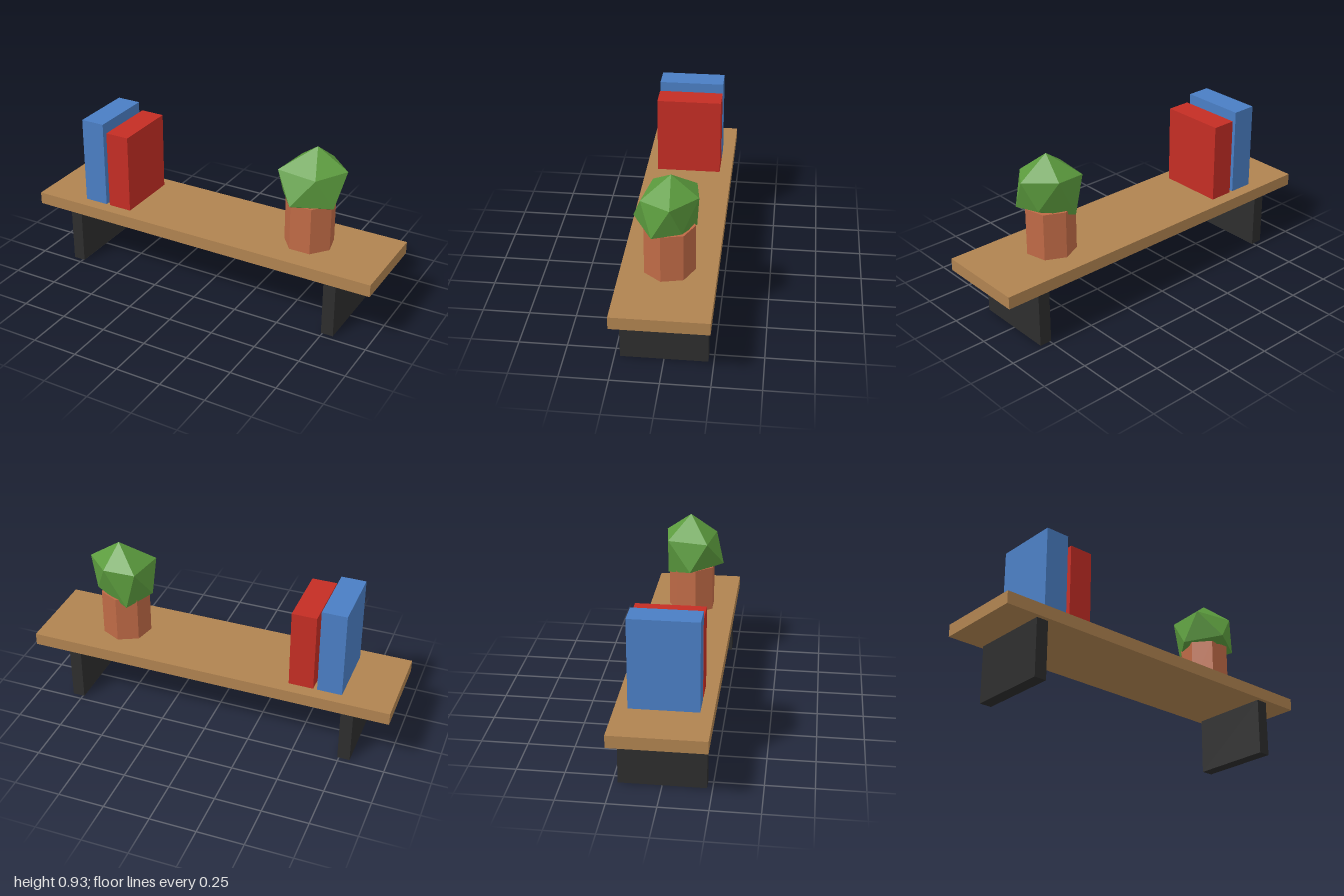
import * as THREE from 'three';

const mat = (name, color) => {
  const m = new THREE.MeshStandardMaterial({ color });
  m.name = name;
  return m;
};

// Low-poly bush: two staggered five-point rings closed by a top and a bottom point
function bushGeometry(top, upper, lower, bottom) {
  const pos = [];
  const face = (...pts) => pts.forEach((p) => pos.push(...p));
  for (let i = 0; i < 5; i++) {
    const j = (i + 1) % 5;
    face(top, upper[j], upper[i]);
    face(upper[i], upper[j], lower[i]);
    face(lower[i], upper[j], lower[j]);
    face(lower[i], lower[j], bottom);
  }
  const g = new THREE.BufferGeometry();
  g.setAttribute('position', new THREE.Float32BufferAttribute(pos, 3));
  g.computeVertexNormals();
  return g;
}

export function createModel() {
  const group = new THREE.Group();
  const wood = mat('wood', 0xb08350);
  const black = mat('blackMetal', 0x2d2d2d);
  const blue = mat('blueCover', 0x4a7ec4);
  const red = mat('redCover', 0xc42d24);
  const clay = mat('terracotta', 0xbf6a46);
  const green = mat('leafGreen', 0x5c9c3e);
  clay.flatShading = true;
  green.flatShading = true;

  const add = (name, geometry, material, x, y, z) => {
    const mesh = new THREE.Mesh(geometry, material);
    mesh.name = name;
    mesh.position.set(x, y, z);
    group.add(mesh);
  };
  // Box standing on a given height
  const box = (name, material, w, h, d, x, y0) =>
    add(name, new THREE.BoxGeometry(w, h, d), material, x, y0 + h / 2, 0);

  // Board and its two supports
  const boardTop = 0.378;
  box('board', wood, 2, 0.067, 0.489, 0, 0.311);
  for (const s of [-1, 1]) box(s > 0 ? 'leftBracket' : 'rightBracket', black, 0.067, 0.311, 0.444, s * 0.775, 0);

  // Books
  box('blueBook', blue, 0.133, 0.479, 0.356, -0.665, boardTop);
  box('redBook', red, 0.133, 0.434, 0.356, -0.511, boardTop);

  // Seven-sided pot with a flat side to the front
  add('pot', new THREE.CylinderGeometry(0.133, 0.133, 0.257, 7, 1, false, Math.PI), clay, 0.554, boardTop + 0.1285, 0);

  // Irregular bush sunk into the pot
  const upper = [[0.74, 0.817, -0.022], [0.632, 0.804, 0.131], [0.408, 0.802, 0.095], [0.438, 0.807, -0.128], [0.604, 0.82, -0.152]];
  const lower = [[0.711, 0.642, 0.07], [0.519, 0.656, 0.181], [0.393, 0.637, 0], [0.49, 0.6, -0.133], [0.68, 0.658, -0.076]];
  add('bush', bushGeometry([0.574, 0.925, -0.013], upper, lower, [0.555, 0.57, 0]), green, 0, 0, 0);

  return group;
}
